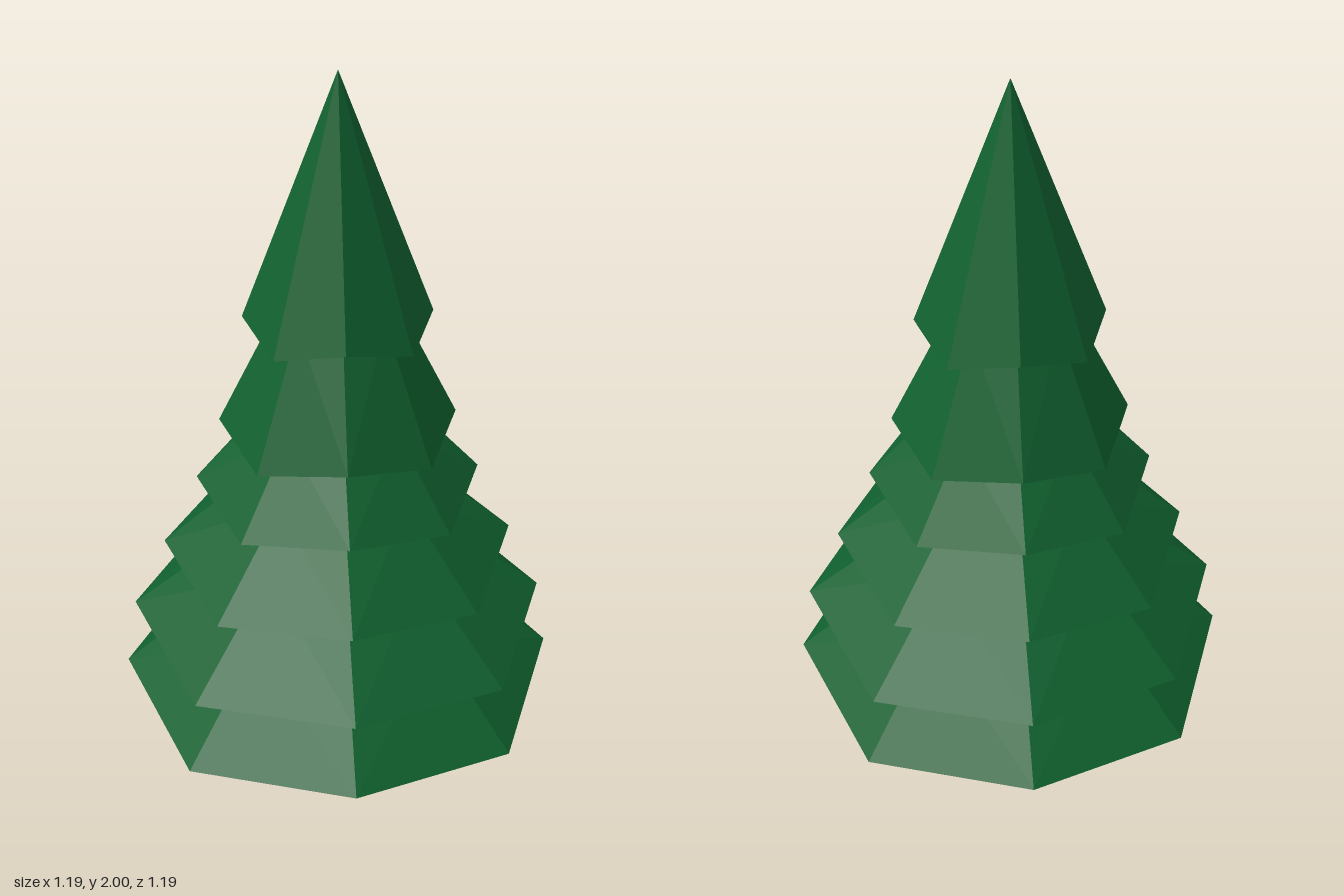
import * as THREE from 'three';

const SIDES = 8;
const TURN = -0.066; // slight turn of the octagon about y

// One octagonal ring; odd corners may be lifted to scallop the rim.
function ring(radius, y, turn = TURN, lift = 0) {
  return Array.from({ length: SIDES }, (_, i) => {
    const a = turn + (i / SIDES) * Math.PI * 2;
    return [radius * Math.sin(a), y + (i % 2) * lift, radius * Math.cos(a)];
  });
}

// Faceted skin through rings listed from bottom to top.
function loft(rings) {
  const positions = [];
  for (let k = 0; k < rings.length - 1; k++) {
    for (let i = 0; i < SIDES; i++) {
      const j = (i + 1) % SIDES;
      const a = rings[k][i], b = rings[k][j], c = rings[k + 1][j], d = rings[k + 1][i];
      // split each quad from its odd corner so both halves of a tier mirror
      if (i % 2) positions.push(...a, ...b, ...c, ...a, ...c, ...d);
      else positions.push(...a, ...b, ...d, ...b, ...c, ...d);
    }
  }
  const geometry = new THREE.BufferGeometry();
  geometry.setAttribute('position', new THREE.Float32BufferAttribute(positions, 3));
  geometry.computeVertexNormals();
  return geometry;
}

export function createModel() {
  const tree = new THREE.Group();
  tree.name = 'pineTree';
  const needles = new THREE.MeshStandardMaterial({ color: 0x10602f, flatShading: true, side: THREE.DoubleSide });
  const bark = new THREE.MeshStandardMaterial({ color: 0x75452b, flatShading: true, side: THREE.DoubleSide });

  // Twisted trunk, flared at the foot
  const trunkRings = [ring(0, 0, 0)];
  for (let k = 0; k <= 6; k++) {
    const t = k / 6;
    trunkRings.push(ring(0.133 - 0.05 * Math.pow(t, 0.8), 0.34 * t, TURN + 1.15 * t));
  }
  const trunk = new THREE.Mesh(loft(trunkRings), bark);
  trunk.name = 'trunk';
  tree.add(trunk);

  // Foliage tiers: rim radius, rim height, top radius, top height
  const tiers = [
    [0.322, 0.195, 0.2, 0.335],
    [0.594, 0.29, 0.33, 0.55],
    [0.56, 0.49, 0.28, 0.745],
    [0.468, 0.69, 0.23, 0.93],
    [0.372, 0.89, 0.195, 1.12],
    [0.306, 1.06, 0.15, 1.41],
    [0.238, 1.35, 0, 2],
  ];
  let under = [ring(0.08, 0.3), ring(0.17, 0.27)];
  tiers.forEach(([rimR, rimY, topR, topY], n) => {
    const top = ring(topR, topY);
    const tier = new THREE.Mesh(loft([...under, ring(rimR, rimY, TURN, 0.042), top]), needles);
    tier.name = `foliageTier${n + 1}`;
    tree.add(tier);
    under = [top]; // the next underside starts where this tier ends
  });

  return tree;
}
